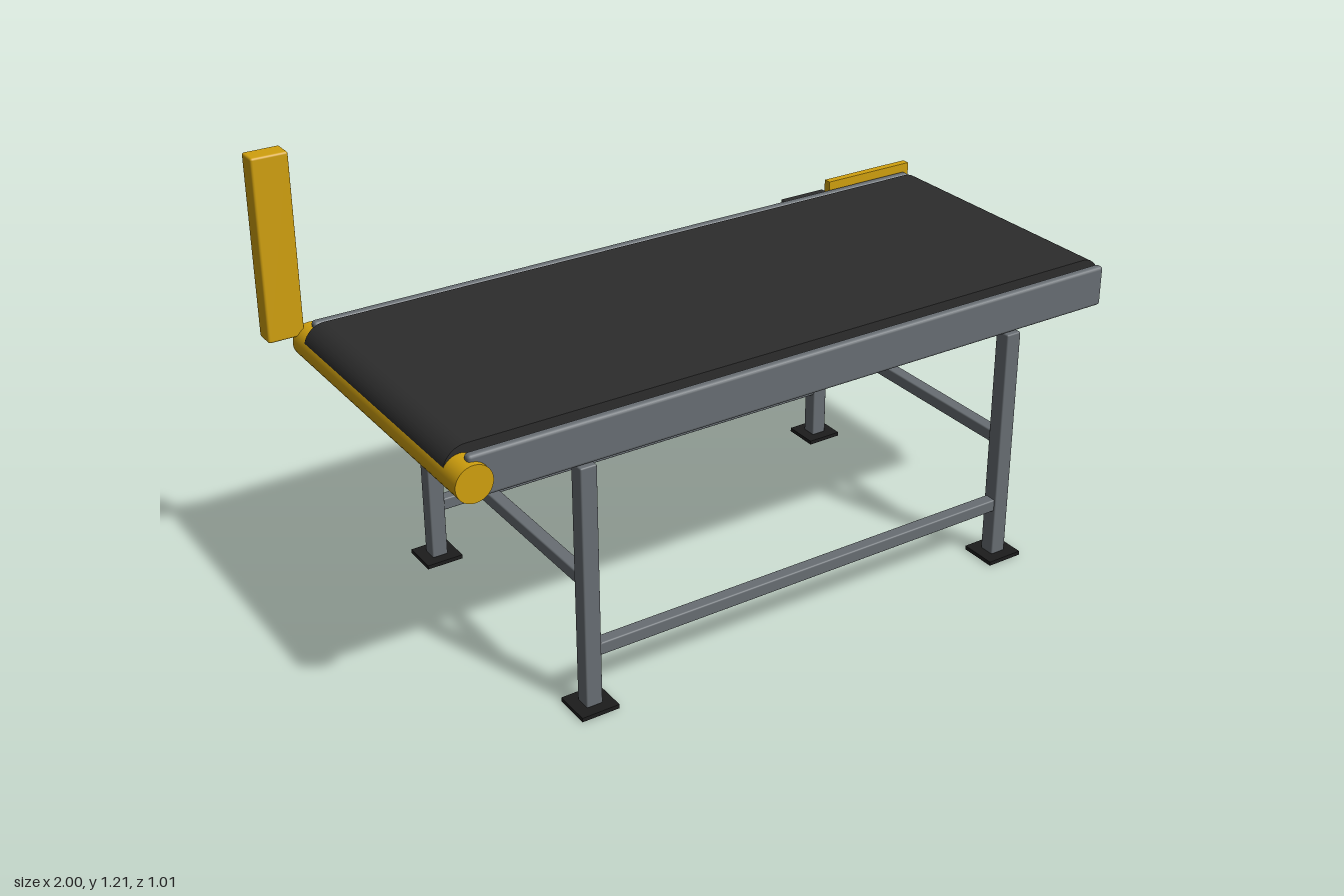
import * as THREE from 'three';
import { RoundedBoxGeometry } from 'three/addons/geometries/RoundedBoxGeometry.js';

export function createModel() {
  const mat = (name, color) => Object.assign(new THREE.MeshStandardMaterial({ color }), { name });
  const steel = mat('steel grey', 0x686e73);
  const rubber = mat('belt black', 0x2c2c2c);
  const yellow = mat('safety yellow', 0xd0a00e);
  const black = mat('foot black', 0x1c1c1c);
  const shaftGrey = mat('shaft grey', 0x44484c);

  const model = new THREE.Group();
  model.name = 'conveyor';
  const add = (name, geometry, material) => {
    const mesh = new THREE.Mesh(geometry, material);
    mesh.name = name;
    model.add(mesh);
    return mesh;
  };
  // Box given by its limits on each axis, with an optional rounded edge
  const box = (name, material, [x0, x1], [y0, y1], [z0, z1], r = 0) => {
    const size = [x1 - x0, y1 - y0, z1 - z0];
    const g = r ? new RoundedBoxGeometry(...size, 2, r) : new THREE.BoxGeometry(...size);
    add(name, g, material).position.set((x0 + x1) / 2, (y0 + y1) / 2, (z0 + z1) / 2);
  };
  // Roller lying along z
  const roller = (name, material, x, y, r, z0, z1) => {
    const g = new THREE.CylinderGeometry(r, r, z1 - z0, 32).rotateX(Math.PI / 2);
    add(name, g, material).position.set(x, y, (z0 + z1) / 2);
  };

  // Belt loop: a rounded-end slab
  const r = 0.0575, xa = -0.87, xb = 0.938, yc = 0.7175;
  const loop = new THREE.Shape();
  loop.absarc(xb, yc, r, -Math.PI / 2, Math.PI / 2, false);
  loop.absarc(xa, yc, r, Math.PI / 2, Math.PI * 1.5, false);
  loop.closePath();
  const belt = new THREE.ExtrudeGeometry(loop, { depth: 0.74, bevelEnabled: false, curveSegments: 20 });
  add('belt', belt.translate(0, 0, -0.32), rubber);

  // End rollers
  roller('tailRoller', yellow, -0.885, 0.708, 0.047, -0.382, 0.485);
  roller('driveShaft', shaftGrey, 0.94, yc, 0.028, -0.345, 0.455);

  // Each side: rail, two legs with feet, long stretcher
  const legX = [-0.597, 0.66];
  for (const [side, zr] of [['front', 0.4575], ['back', -0.3475]]) {
    box(side + 'Rail', steel, [-0.89, 0.965], [0.66, 0.77], [zr - 0.0125, zr + 0.0125], 0.009);
    for (const x of legX) {
      box(side + 'Leg', steel, [x - 0.022, x + 0.022], [0.01, 0.66], [zr - 0.022, zr + 0.022], 0.004);
      box(side + 'Foot', black, [x - 0.051, x + 0.051], [0, 0.011], [zr - 0.05, zr + 0.05]);
    }
    box(side + 'Stretcher', steel, [legX[0], legX[1]], [0.142, 0.176], [zr - 0.017, zr + 0.017], 0.004);
  }

  // Cross braces between front and back legs
  for (const x of legX) {
    box('crossBrace', steel, [x - 0.017, x + 0.017], [0.333, 0.367], [-0.3475, 0.4575], 0.004);
  }

  // Drive unit on the back
  box('gearbox', rubber, [0.634, 0.782], [0.555, 0.705], [-0.506, -0.362], 0.004);
  const motor = new THREE.CylinderGeometry(0.055, 0.055, 0.24, 32).rotateZ(Math.PI / 2);
  add('motor', motor, rubber).position.set(0.52, 0.632, -0.436);
  box('driveGuard', yellow, [0.7, 0.985], [0.65, 0.79], [-0.386, -0.364]);

  // Upright control post at the tail
  box('controlPost', yellow, [-1, -0.905], [0.73, 1.21], [-0.42, -0.364], 0.006);

  return model;
}
